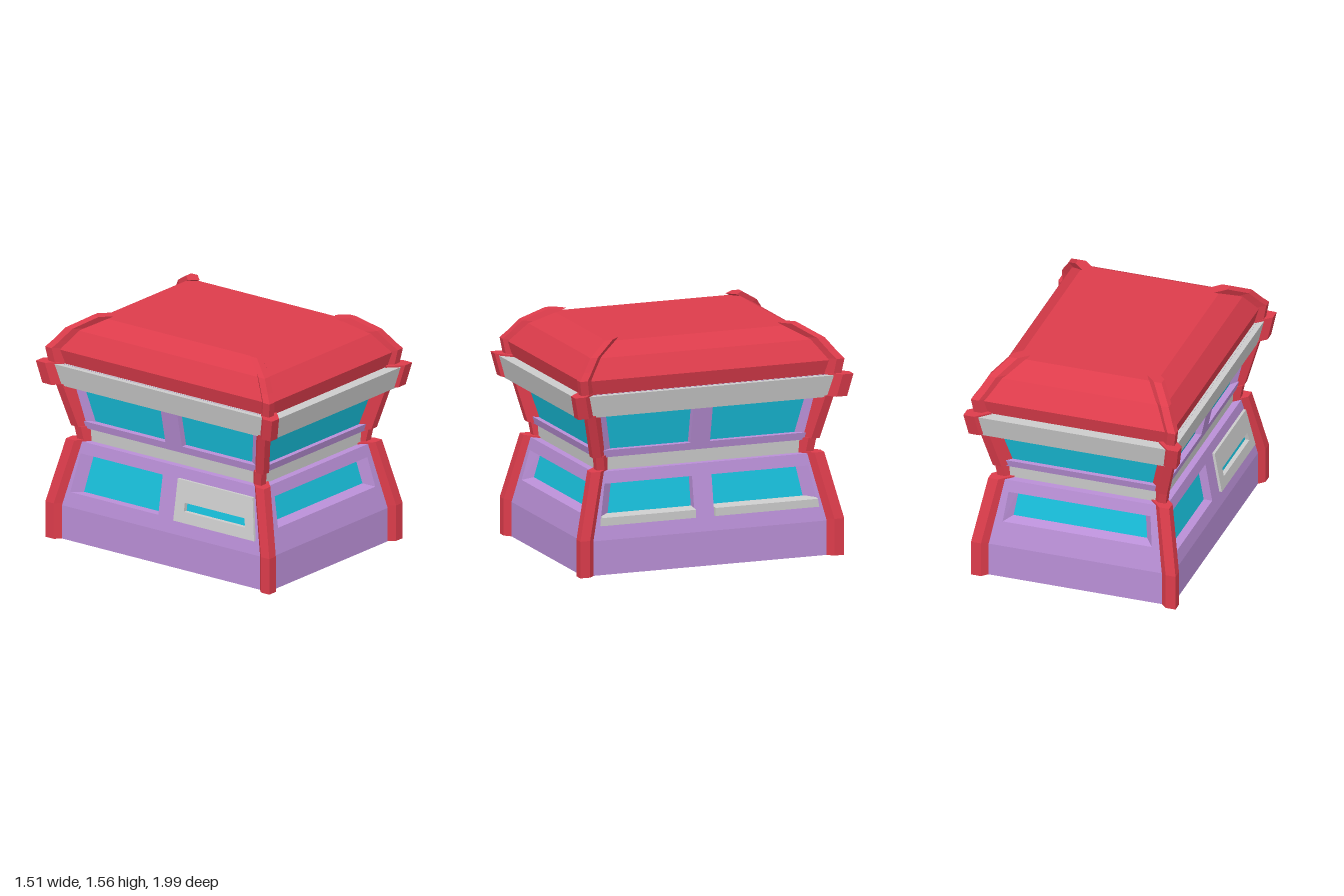
import * as THREE from 'three';

const mat = (color) => new THREE.MeshStandardMaterial({ color, flatShading: true, side: THREE.DoubleSide });
const red = mat(0xdc3c4b), lilac = mat(0xb98fd6), cyan = mat(0x18c0dc), grey = mat(0xcccccc);

function add(parent, name, geometry, material) {
  const mesh = new THREE.Mesh(geometry, material);
  mesh.name = name;
  parent.add(mesh);
  return mesh;
}

// Skin a row of equal-length corner loops with quads, optionally capping the ends.
function loft(loops, capped = false) {
  const pos = [], n = loops[0].length;
  for (let i = 0; i + 1 < loops.length; i++) {
    for (let j = 0; j < n; j++) {
      const k = (j + 1) % n, lo = loops[i], hi = loops[i + 1];
      pos.push(...lo[j], ...lo[k], ...hi[k], ...lo[j], ...hi[k], ...hi[j]);
    }
  }
  if (capped) {
    const first = loops[0], last = loops[loops.length - 1];
    for (let j = 1; j + 1 < n; j++) {
      pos.push(...first[0], ...first[j + 1], ...first[j], ...last[0], ...last[j], ...last[j + 1]);
    }
  }
  const g = new THREE.BufferGeometry();
  g.setAttribute('position', new THREE.Float32BufferAttribute(pos, 3));
  g.computeVertexNormals();
  return g;
}

// Rectangular shell around the building from [halfX, y, halfZ] steps.
const shell = (steps) => loft(steps.map(([x, y, z]) => [[-x, y, z], [x, y, z], [x, y, -z], [-x, y, -z]]));

// Corner post: a five-sided section swept up the outer corner points [x, y, z].
function post(steps, a, b = 0.09) {
  return loft(steps.map(([x, y, z]) => [
    [x, y, z], [x, y, z - a], [x - b, y, z - a - b], [x - a - b, y, z - b], [x - a, y, z],
  ]), true);
}

// Trapezoid corners from bottom span, top span and heights.
const trapezoid = ([l0, r0, l1, r1, y0, y1]) => [[l0, y0], [r0, y0], [r1, y1], [l1, y1]];

// Point on a leaning wall: u along it, y up, d outwards.
const onWall = (w, u, y, d) => [u, y, w.z0 + (w.z1 - w.z0) * (y - w.y0) / (w.y1 - w.y0) + d];

// Leaning panel with recessed windows {hole, inset: [left, right, bottom], depth}.
function panel(parent, name, w, outline, windows, material, d = 0) {
  const shape = new THREE.Shape(trapezoid(outline).map((p) => new THREE.Vector2(...p)));
  for (const win of windows) {
    shape.holes.push(new THREE.Path(trapezoid(win.hole).map((p) => new THREE.Vector2(...p))));
  }
  const g = new THREE.ShapeGeometry(shape), p = g.attributes.position;
  for (let i = 0; i < p.count; i++) p.setXYZ(i, ...onWall(w, p.getX(i), p.getY(i), d));
  g.computeVertexNormals();
  add(parent, name, g, material);
  for (const { hole, inset: [l, r, b], depth } of windows) {
    const [l0, r0, l1, r1, y0, y1] = hole;
    const inner = trapezoid([l0 + l, r0 - r, l1 + l, r1 - r, y0 + b, y1]);
    const front = trapezoid(hole).map(([u, y]) => onWall(w, u, y, d));
    const back = inner.map(([u, y]) => onWall(w, u, y, d - depth));
    add(parent, name + 'Reveal', loft([back, front]), material);
    const glass = new THREE.BufferGeometry();
    glass.setAttribute('position', new THREE.Float32BufferAttribute(
      [0, 1, 2, 0, 2, 3].flatMap((i) => back[i]), 3));
    glass.computeVertexNormals();
    add(parent, name + 'Glass', glass, cyan);
  }
}

// Sloping grey sill filling the foot of a window.
function sill(parent, w, [l0, r0, l1, r1, y0]) {
  const section = (u0, u1) => [[u0, y0, 0], [u0, y0, 0.025], [u1, 0.39, 0.035], [u1, 0.40, -0.05], [u0, y0, -0.05]]
    .map(([u, y, d]) => onWall(w, u, y, d));
  const k = 0.2;
  add(parent, 'windowSill', loft([section(l0, l0 + (l1 - l0) * k), section(r0, r0 + (r1 - r0) * k)], true), grey);
}

// Lower and upper wall heights with half lengths (h) and distances (z).
const endLower = { y0: 0.235, y1: 0.685, z0: 0.905, z1: 0.80 };
const endUpper = { y0: 0.775, y1: 1.23, z0: 0.775, z1: 0.893 };
const sideLower = { y0: 0.235, y1: 0.685, z0: 0.68, z1: 0.60 };
const sideUpper = { y0: 0.775, y1: 1.23, z0: 0.575, z1: 0.672 };

function endWall(name, angle) {
  const g = new THREE.Group();
  g.name = name;
  g.rotation.y = angle;
  panel(g, 'lowerWall', endLower, [-0.68, 0.68, -0.60, 0.60, 0.235, 0.685],
    [{ hole: [-0.525, 0.525, -0.5, 0.5, 0.40, 0.605], inset: [0.055, 0.055, 0.025], depth: 0.06 }], lilac);
  panel(g, 'upperWall', endUpper, [-0.575, 0.575, -0.672, 0.672, 0.775, 1.23],
    [{ hole: [-0.555, 0.555, -0.61, 0.61, 0.825, 1.09], inset: [0.02, 0.02, 0], depth: 0.035 }], lilac);
  return g;
}

// m is the mullion's offset along the wall; shuttered swaps the sills for one shutter.
function sideWall(name, angle, m, shuttered) {
  const g = new THREE.Group();
  g.name = name;
  g.rotation.y = angle;
  const a = m - 0.07, b = m + 0.07;
  const lower = [[-0.78, a, -0.73, a, 0.335, 0.605], [b, 0.78, b, 0.73, 0.335, 0.605]];
  const upper = [[-0.73, a, -0.785, a, 0.825, 1.085], [b, 0.73, b, 0.785, 0.825, 1.085]];
  const windows = (holes, depth) => holes.map((hole, i) =>
    ({ hole, inset: i ? [0, 0.07, 0] : [0.07, 0, 0], depth }));
  panel(g, 'lowerWall', sideLower, [-0.905, 0.905, -0.80, 0.80, 0.235, 0.685], windows(lower, 0.06), lilac);
  panel(g, 'upperWall', sideUpper, [-0.775, 0.775, -0.893, 0.893, 0.775, 1.23], windows(upper, 0.045), lilac);
  if (shuttered) {
    const frame = [b, 0.785, b, 0.735, 0.33, 0.612];
    panel(g, 'shutter', sideLower, frame,
      [{ hole: [b + 0.08, 0.70, b + 0.08, 0.685, 0.405, 0.465], inset: [0, 0, 0], depth: 0.03 }], grey, 0.018);
    const rim = (d) => trapezoid(frame).map(([u, y]) => onWall(sideLower, u, y, d));
    add(g, 'shutterRim', loft([rim(-0.04), rim(0.018)]), grey);
  } else {
    lower.forEach((hole) => sill(g, sideLower, hole));
  }
  return g;
}

export function createModel() {
  const model = new THREE.Group();
  model.name = 'cabin';

  // Horizontal courses, open underneath
  add(model, 'base', shell([[0.68, 0, 0.905], [0.68, 0.235, 0.905]]), lilac);
  add(model, 'lowerLedge', shell([[0.60, 0.685, 0.80], [0.555, 0.685, 0.75]]), lilac);
  add(model, 'waistBand', shell([[0.555, 0.685, 0.75], [0.56, 0.775, 0.755]]), grey);
  add(model, 'upperLedge', shell([[0.56, 0.775, 0.755], [0.575, 0.775, 0.775]]), lilac);
  add(model, 'eaveBand', shell([
    [0.635, 1.078, 0.85], [0.68, 1.078, 0.94], [0.71, 1.228, 0.975], [0.64, 1.228, 0.87],
  ]), grey);
  add(model, 'roof', shell([
    [0.655, 1.225, 0.895], [0.68, 1.327, 0.92], [0.60, 1.46, 0.81], [0.487, 1.545, 0.66], [0, 1.545, 0],
  ]), red);

  // Walls
  model.add(endWall('frontWall', 0), endWall('backWall', Math.PI));
  model.add(sideWall('leftWall', Math.PI / 2, -0.033, false));
  model.add(sideWall('rightWall', -Math.PI / 2, 0.033, true));

  // Corner posts, stacked in five pieces
  const pieces = {
    lowerPost: post([[0.72, 0, 0.945], [0.72, 0.25, 0.945], [0.637, 0.695, 0.835]], 0.07),
    waistPost: post([[0.592, 0.69, 0.775], [0.607, 0.79, 0.79]], 0.055),
    upperPost: post([[0.612, 0.785, 0.812], [0.688, 1.09, 0.885]], 0.06),
    eavePost: post([[0.73, 1.085, 0.962], [0.756, 1.24, 0.997]], 0.075),
    roofPost: post([
      [0.705, 1.235, 0.93], [0.72, 1.34, 0.947], [0.685, 1.39, 0.905], [0.635, 1.475, 0.84], [0.535, 1.563, 0.695],
    ], 0.055, 0.07),
  };
  for (const sx of [1, -1]) {
    for (const sz of [1, -1]) {
      const corner = new THREE.Group();
      corner.name = (sz > 0 ? 'front' : 'back') + (sx > 0 ? 'Left' : 'Right') + 'Corner';
      corner.scale.set(sx, 1, sz);
      for (const [name, geometry] of Object.entries(pieces)) add(corner, name, geometry, red);
      model.add(corner);
    }
  }
  return model;
}
